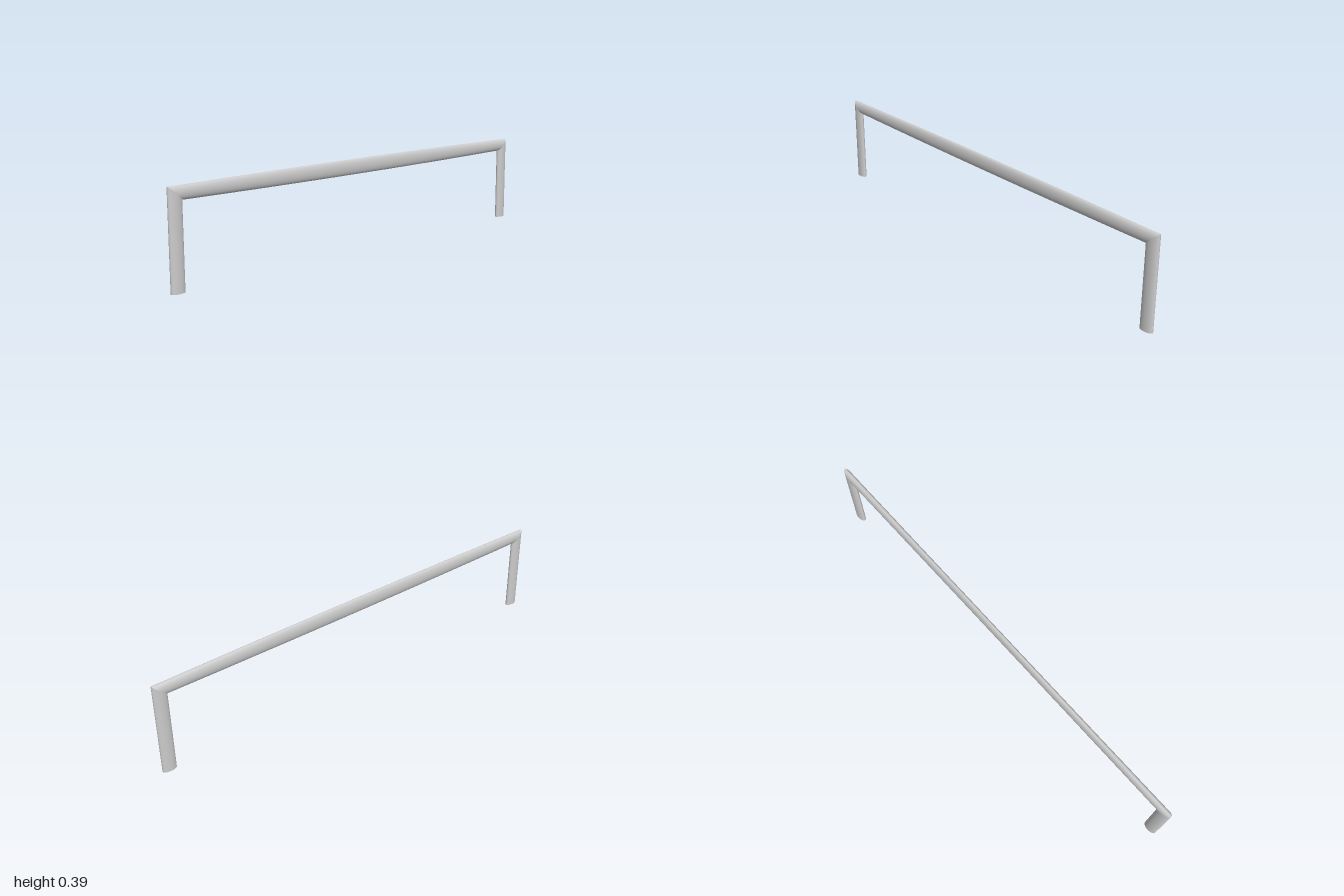
import * as THREE from 'three';

const SIDES = 40;
const HALF_WIDTH = 0.015, LEG_DEPTH = 0.03, LEG_Z = 0.97, BAR_Y = 0.36;
const barHalfHeight = z => 0.0325 - 0.0065 * z * z;

// Skin a row of oval sections; each has a centre (y, z), a half axis (dy, dz) and a half width in x
function loft(sections) {
  const positions = [], indices = [];
  for (const { y, z, dy, dz, w } of sections) {
    for (let j = 0; j < SIDES; j++) {
      const a = j / SIDES * Math.PI * 2, c = Math.cos(a);
      positions.push(w * Math.sin(a), y + dy * c, z + dz * c);
    }
  }
  for (let i = 0; i < sections.length - 1; i++) {
    for (let j = 0; j < SIDES; j++) {
      const k = (j + 1) % SIDES;
      const a = i * SIDES + j, b = i * SIDES + k;
      indices.push(a, b, a + SIDES, b, b + SIDES, a + SIDES);
    }
  }
  const geometry = new THREE.BufferGeometry();
  geometry.setAttribute('position', new THREE.Float32BufferAttribute(positions, 3));
  geometry.setIndex(indices);
  geometry.computeVertexNormals();
  return geometry;
}

export function createModel() {
  const group = new THREE.Group();
  const material = new THREE.MeshStandardMaterial({ color: 0xcccccc });

  // Slanted oval shared by bar and leg at each corner
  const mitre = side => ({
    y: BAR_Y, z: side * LEG_Z, dy: barHalfHeight(LEG_Z), dz: side * LEG_DEPTH, w: HALF_WIDTH
  });

  // Grip bar, slightly deeper and slimmer towards the middle
  const barSections = [mitre(1)];
  for (let i = 0; i <= 24; i++) {
    const z = 0.92 * (1 - i / 12);
    barSections.push({ y: BAR_Y, z, dy: barHalfHeight(z), dz: 0, w: 0.013 + 0.002 * z * z });
  }
  barSections.push(mitre(-1));
  const bar = new THREE.Mesh(loft(barSections), material);
  bar.name = 'gripBar';
  group.add(bar);

  // Oval legs with flat feet
  const foot = { y: 0, z: LEG_Z, dy: 0, dz: LEG_DEPTH, w: HALF_WIDTH };
  const legGeometry = loft([foot, { ...foot, y: 0.3 }, mitre(1)]);
  const footGeometry = new THREE.CircleGeometry(1, SIDES)
    .scale(HALF_WIDTH, LEG_DEPTH, 1).rotateX(Math.PI / 2).translate(0, 0, LEG_Z);
  for (const [name, turn] of [['frontLeg', 0], ['backLeg', Math.PI]]) {
    const leg = new THREE.Group();
    leg.name = name;
    const post = new THREE.Mesh(legGeometry, material);
    post.name = name + 'Post';
    const sole = new THREE.Mesh(footGeometry, material);
    sole.name = name + 'Foot';
    leg.add(post, sole);
    leg.rotation.y = turn;
    group.add(leg);
  }
  return group;
}
